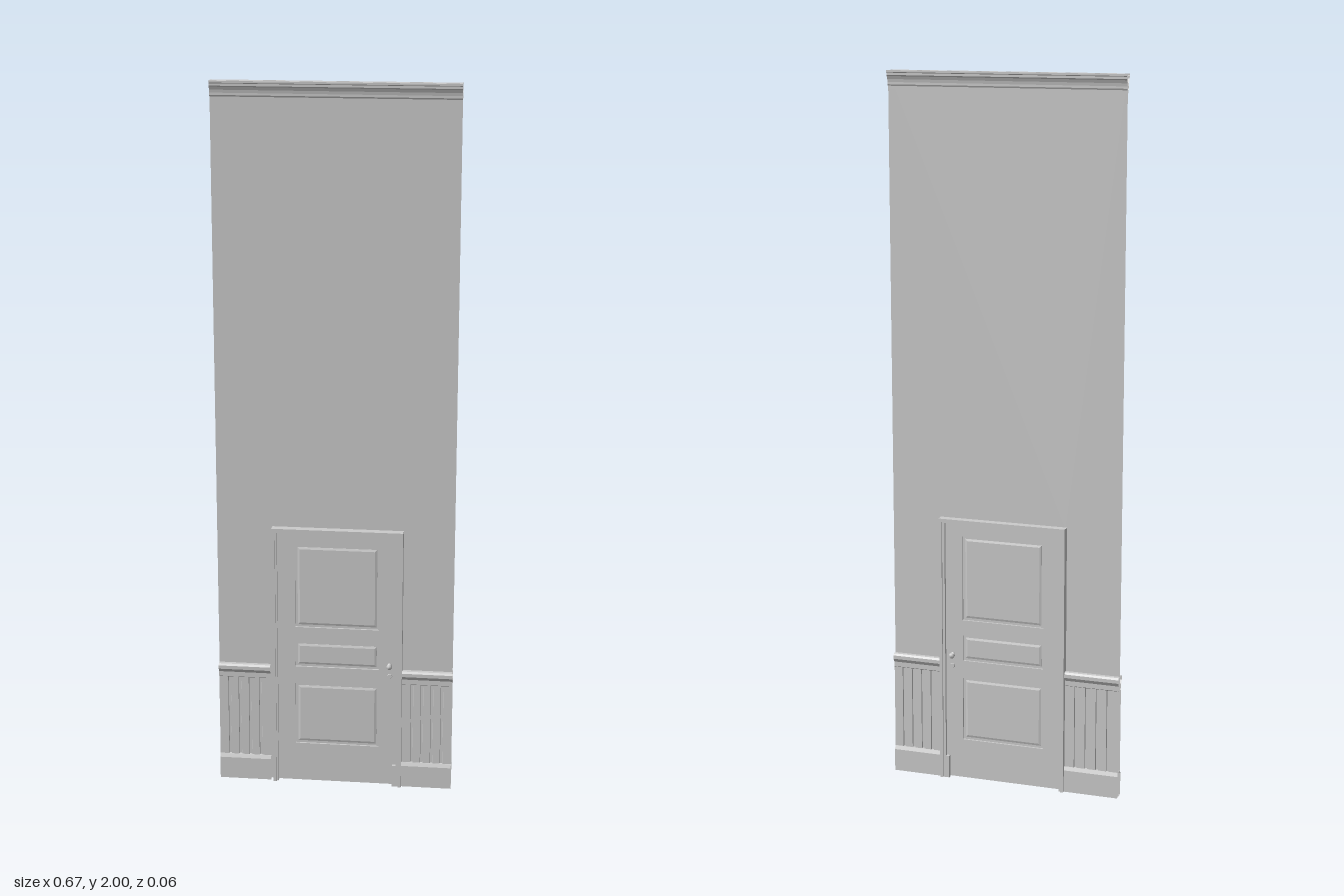
import * as THREE from 'three';

const W = 0.333;                       // half width of the wall
const DOOR = { l: -0.163, r: 0.175, top: 0.757 };
const CASE = { l: -0.177, r: 0.191, top: 0.77 };
const solid = new THREE.MeshStandardMaterial({ color: 0xcccccc });
const sheet = new THREE.MeshStandardMaterial({ color: 0xcccccc, side: THREE.DoubleSide });

function add(parent, name, geometry, material = solid) {
  const mesh = new THREE.Mesh(geometry, material);
  mesh.name = name;
  parent.add(mesh);
  return mesh;
}

// Open faceted strip between two rows of points
function strip(a, b) {
  const pos = [];
  for (let i = 0; i < a.length - 1; i++) {
    pos.push(...a[i], ...b[i], ...b[i + 1], ...a[i], ...b[i + 1], ...a[i + 1]);
  }
  const g = new THREE.BufferGeometry();
  g.setAttribute('position', new THREE.Float32BufferAttribute(pos, 3));
  g.computeVertexNormals();
  return g;
}

// Moulding: [z, y] profile, bottom to top, swept along x
const moulding = (profile, x0, x1) =>
  strip(profile.map(([z, y]) => [x0, y, z]), profile.map(([z, y]) => [x1, y, z]));

function rect(x0, y0, x1, y1, Type = THREE.Shape) {
  return new Type([[x0, y0], [x1, y0], [x1, y1], [x0, y1]].map(p => new THREE.Vector2(...p)));
}

// Outline of a doorway surround, open at the floor
function surround(l, r, top, il, ir, itop) {
  return new THREE.Shape([[l, 0], [il, 0], [il, itop], [ir, itop], [ir, 0], [r, 0], [r, top], [l, top]]
    .map(p => new THREE.Vector2(...p)));
}

const extrude = (shape, depth) => new THREE.ExtrudeGeometry(shape, { depth, bevelEnabled: false });

const BASE = [[0.002, 0], [0.0165, 0], [0.0165, 0.064], [0.012, 0.074], [0.002, 0.076]];
const RAIL = [[0.009, 0.313], [0.0125, 0.316], [0.0125, 0.33], [0.0155, 0.335], [0.0185, 0.34],
  [0.0185, 0.35], [0.014, 0.355], [0.002, 0.355]];
const CORNICE = [[0.002, 1.95], [0.005, 1.95], [0.005, 1.958], [0.007, 1.962], [0.007, 1.968],
  [0.0085, 1.976], [0.012, 1.984], [0.0145, 1.987], [0.0145, 1.993], [0.016, 1.995], [0.016, 2], [0.002, 2]];

// Grooved boarding between x0 and x1
function boarding(x0, x1) {
  const n = 5, pitch = (x1 - x0) / n, row = [[x0, 0.0105]];
  for (let i = 1; i < n; i++) {
    const x = x0 + i * pitch;
    row.push([x - 0.004, 0.0105], [x - 0.003, 0.0065], [x + 0.003, 0.0065], [x + 0.004, 0.0105]);
  }
  row.push([x1, 0.0105]);
  return strip(row.map(([x, z]) => [x, 0.315, z]), row.map(([x, z]) => [x, 0.07, z]));
}

// Everything on one face of the wall; gap is the space left of the casing
function wallSide(name, gap) {
  const side = new THREE.Group();
  side.name = name;

  const wall = new THREE.Shape([[-W, 0], [CASE.l + 0.004, 0], [CASE.l + 0.004, 0.765], [CASE.r - 0.004, 0.765],
    [CASE.r - 0.004, 0], [W, 0], [W, 2], [-W, 2]].map(p => new THREE.Vector2(...p)));
  add(side, 'wallSurface', new THREE.ShapeGeometry(wall)).position.z = 0.002;
  add(side, 'cornice', moulding(CORNICE, -W, W), sheet);

  // Wainscot on both sides of the doorway
  for (const [x0, x1] of [[-W, CASE.l - gap], [CASE.r, W]]) {
    add(side, 'baseboard', moulding(BASE, x0, x1), sheet);
    add(side, 'wainscotBoards', boarding(x0, x1), sheet);
    add(side, 'chairRail', moulding(RAIL, x0, x1), sheet);
  }

  // Stepped door casing
  add(side, 'casingOuter', extrude(
    surround(CASE.l, CASE.r, CASE.top, CASE.l + 0.009, CASE.r - 0.009, CASE.top - 0.009), 0.0245));
  add(side, 'casingInner', extrude(
    surround(CASE.l + 0.009, CASE.r - 0.009, CASE.top - 0.009, DOOR.l, DOOR.r, DOOR.top), 0.0195));
  add(side, 'casingFoot', new THREE.BoxGeometry(0.022, 0.065, 0.012)).position.set(0.176, 0.0325, 0.015);

  // Door stiles and rails with three raised panels
  const frame = rect(DOOR.l, 0.003, DOOR.r, DOOR.top);
  for (const [y0, y1] of [[0.118, 0.303], [0.355, 0.43], [0.475, 0.72]]) {
    frame.holes.push(rect(-0.113, y0, 0.125, y1, THREE.Path));
    const field = new THREE.ExtrudeGeometry(rect(-0.1, y0 + 0.013, 0.112, y1 - 0.013),
      { depth: 0.001, bevelThickness: 0.002, bevelSize: 0.006, bevelSegments: 1 });
    add(side, 'raisedPanel', field).position.z = 0.0055;
  }
  add(side, 'doorFrame', extrude(frame, 0.007)).position.z = 0.004;
  add(side, 'panelBacking', new THREE.BoxGeometry(0.25, 0.63, 0.0055)).position.set(0.006, 0.42, 0.00275);

  // Knob and key plate
  const knob = [[0, 0], [0.007, 0], [0.007, 0.0015], [0.003, 0.003], [0.003, 0.007], [0.0065, 0.009],
    [0.008, 0.0125], [0.006, 0.0158], [0, 0.017]].map(p => new THREE.Vector2(...p));
  const handle = add(side, 'doorKnob', new THREE.LatheGeometry(knob, 20));
  handle.rotation.x = Math.PI / 2;
  handle.position.set(0.155, 0.37, 0.011);
  const plate = add(side, 'keyPlate', new THREE.CylinderGeometry(0.006, 0.007, 0.003, 16));
  plate.rotation.x = Math.PI / 2;
  plate.position.set(0.156, 0.338, 0.0125);
  return side;
}

export function createModel() {
  const model = new THREE.Group();
  model.name = 'wallWithDoor';
  const front = wallSide('frontSide', 0.008);
  const back = wallSide('backSide', 0);
  back.scale.z = -1;
  front.position.z = back.position.z = -0.001;
  model.add(front, back);
  return model;
}
